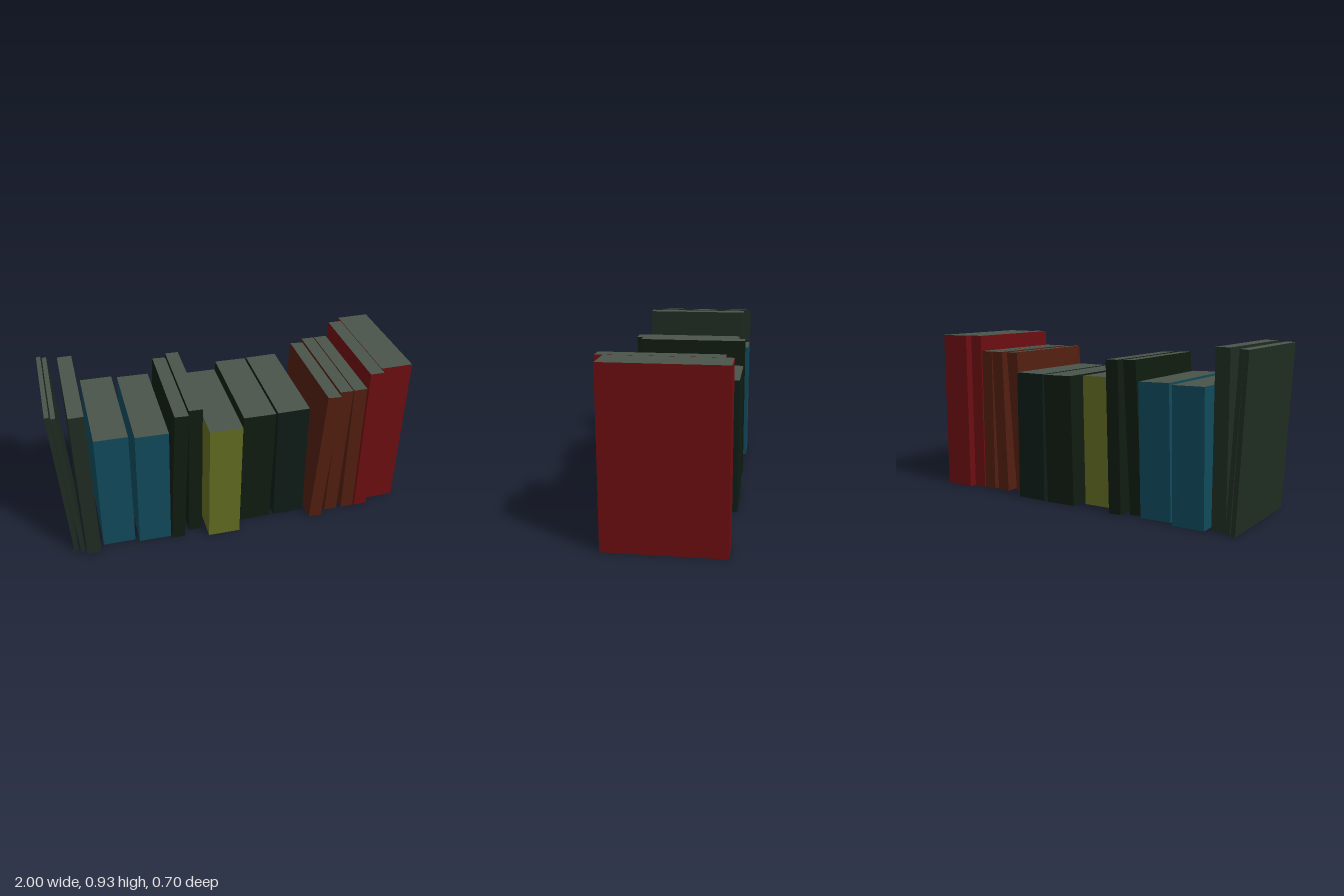
import * as THREE from 'three';

const DEPTH = 0.625;

const paint = (color) => new THREE.MeshStandardMaterial({ color, flatShading: true });
const pages = paint(0x4a544a);
const slate = paint(0x1f2c22);
const teal = paint(0x10495a);
const forest = paint(0x101c10);
const olive = paint(0x606a20);
const pine = paint(0x0e1c17);
const brown = paint(0x511e10);
const red = paint(0x6c0e10);

// name, cover, left edge at the bottom, sideways lean of the top, thickness, height, front z
const BOOKS = [
  ['leaningBooklet1', slate, -0.955, -0.045, 0.024, 0.927, 0.275],
  ['leaningBooklet2', slate, -0.919, -0.05, 0.024, 0.927, 0.29],
  ['slateBook', slate, -0.887, 0, 0.08, 0.93, 0.315],
  ['tealBook1', teal, -0.788, 0.012, 0.183, 0.733, 0.27],
  ['tealBook2', teal, -0.583, 0.02, 0.183, 0.733, 0.295],
  ['forestBook1', forest, -0.398, 0.048, 0.076, 0.84, 0.315],
  ['forestBook2', forest, -0.287, 0.021, 0.076, 0.84, 0.275],
  ['oliveBook', olive, -0.185, 0.014, 0.183, 0.733, 0.35],
  ['forestBook3', forest, 0.024, 0.016, 0.183, 0.733, 0.27],
  ['pineBook', pine, 0.234, 0, 0.183, 0.735, 0.27],
  ['brownBook1', brown, 0.432, 0.055, 0.076, 0.838, 0.35],
  ['brownBook2', brown, 0.544, 0.026, 0.076, 0.84, 0.315],
  ['brownBook3', brown, 0.651, 0, 0.076, 0.84, 0.315],
  ['redBook1', red, 0.737, 0, 0.078, 0.93, 0.317],
  ['redBook2', red, 0.818, 0, 0.182, 0.93, 0.275],
];

function makeBook([name, cover, left, lean, width, height, front]) {
  // A leaning book pivots on the bottom corner it leans towards
  const side = lean < 0 ? -1 : 1;
  const geometry = new THREE.BoxGeometry(width, height, DEPTH);
  geometry.translate((-side * width) / 2, height / 2, 0);
  // Covers on the sides, front and back; page edges on top and bottom
  const base = cover === olive ? olive : pages;
  const book = new THREE.Mesh(geometry, [cover, cover, pages, base, cover, cover]);
  book.name = name;
  book.rotation.z = -Math.asin(lean / height);
  book.position.set(side > 0 ? left + width : left, 0, front - DEPTH / 2);
  return book;
}

export function createModel() {
  const row = new THREE.Group();
  row.name = 'rowOfBooks';
  for (const spec of BOOKS) row.add(makeBook(spec));
  return row;
}
